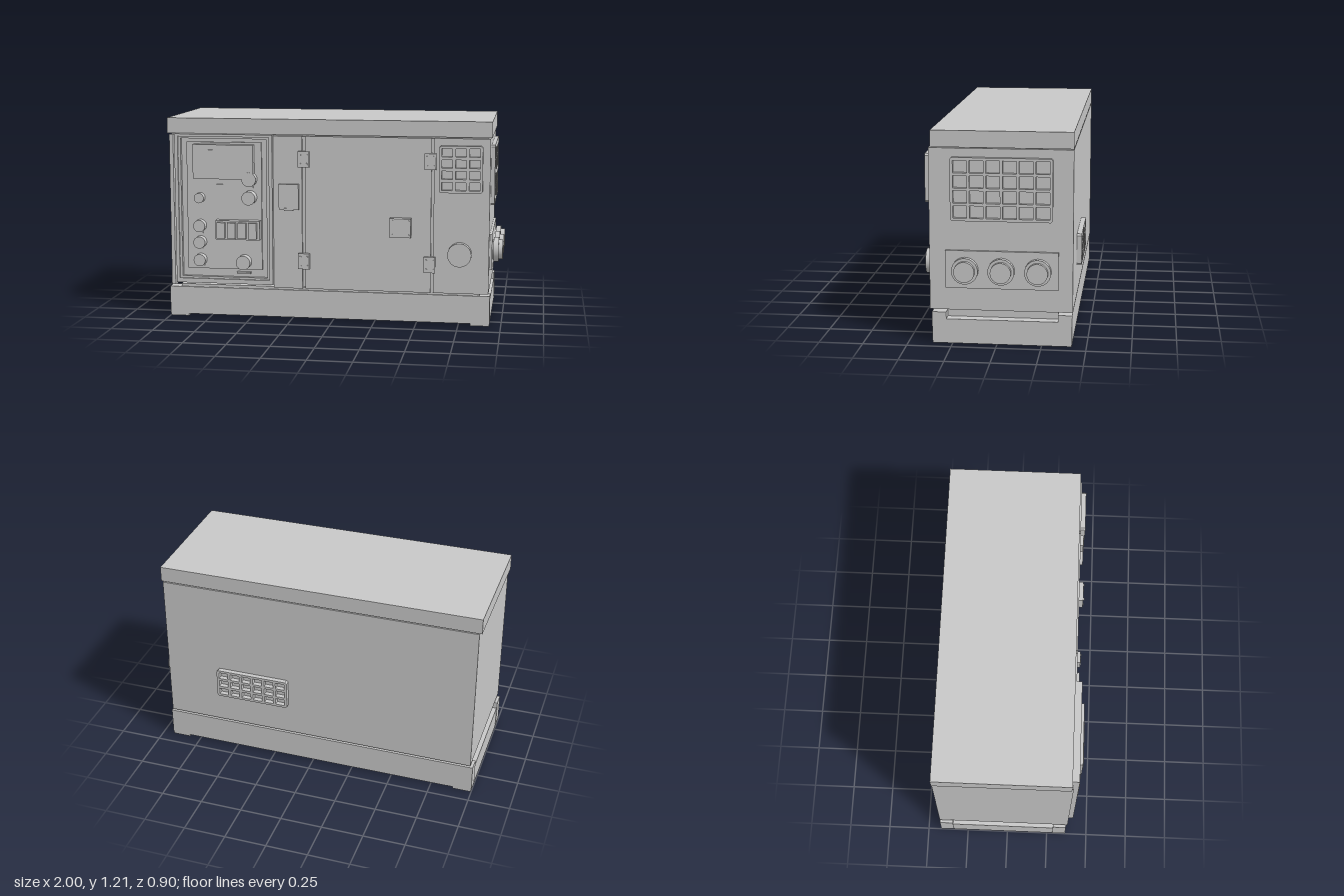
import * as THREE from 'three';

const paint = new THREE.MeshStandardMaterial({ color: 0xc8c8c8 });
paint.name = 'grey paint';

export function createModel() {
  const model = new THREE.Group();
  model.name = 'generatorSet';

  const add = (name, geometry, parent = model) => {
    const mesh = new THREE.Mesh(geometry, paint);
    mesh.name = name;
    parent.add(mesh);
    return mesh;
  };
  // Box given by its extents on each axis
  const box = (name, x0, x1, y0, y1, z0, z1, parent) => {
    const mesh = add(name, new THREE.BoxGeometry(x1 - x0, y1 - y0, z1 - z0), parent);
    mesh.position.set((x0 + x1) / 2, (y0 + y1) / 2, (z0 + z1) / 2);
    return mesh;
  };
  // Disc facing the front
  const knob = (name, x, y, r, z0, z1, parent) => {
    const mesh = add(name, new THREE.CylinderGeometry(r, r, z1 - z0, 32).rotateX(Math.PI / 2), parent);
    mesh.position.set(x, y, (z0 + z1) / 2);
    return mesh;
  };
  const rectPoints = (x0, x1, y0, y1) => [[x0, y0], [x1, y0], [x1, y1], [x0, y1]].map(p => new THREE.Vector2(...p));
  // Grille with chamfered corners and a grid of openings
  const grille = (name, w, h, cols, rows, depth, rim, bar) => {
    const c = 0.01, a = w / 2, b = h / 2;
    const shape = new THREE.Shape([
      [-a + c, -b], [a - c, -b], [a, -b + c], [a, b - c],
      [a - c, b], [-a + c, b], [-a, b - c], [-a, -b + c],
    ].map(p => new THREE.Vector2(...p)));
    const cw = (w - 2 * rim - (cols - 1) * bar) / cols;
    const ch = (h - 2 * rim - (rows - 1) * bar) / rows;
    for (let i = 0; i < cols; i++) for (let j = 0; j < rows; j++) {
      const x = -a + rim + i * (cw + bar), y = -b + rim + j * (ch + bar);
      shape.holes.push(new THREE.Path(rectPoints(x, x + cw, y, y + ch)));
    }
    return add(name, new THREE.ExtrudeGeometry(shape, { depth, bevelEnabled: false }));
  };

  // Skid base: long rails, end cross members, floor and the spacer under the housing
  box('frontRail', -1, 0.934, 0.013, 0.18, 0.285, 0.365);
  box('backRail', -1, 0.934, 0.013, 0.18, -0.42, -0.34);
  for (const x of [-0.997, 0.822]) {
    box('crossMember', x, x + 0.11, 0.01, 0.14, -0.34, 0.285);
    box('footPlate', x, x + 0.11, 0, 0.013, -0.418, 0.363);
  }
  box('floor', -0.93, 0.872, 0.139, 0.18, -0.34, 0.285);
  box('spacer', -0.93, 0.872, 0.178, 0.197, -0.385, 0.356);

  // Housing, set back behind the control panel, and roof
  box('housing', -0.36, 0.925, 0.194, 1.108, -0.422, 0.34);
  box('panelBay', -0.985, -0.36, 0.194, 1.108, -0.422, 0.28);
  box('roofSeam', -0.975, 0.912, 1.1, 1.12, -0.41, 0.34);
  box('roof', -1, 0.934, 1.114, 1.206, -0.422, 0.365);

  // Front doors and panels, with narrow seams between them
  box('latchPanel', -0.353, -0.18, 0.194, 1.108, 0.33, 0.377);
  box('centreDoor', -0.162, 0.585, 0.194, 1.108, 0.33, 0.377);
  box('ventPanel', 0.6, 0.925, 0.194, 1.108, 0.33, 0.377);
  box('seamBacking', -0.19, 0.61, 0.2, 1.105, 0.33, 0.362);
  box('cornerPost', -0.985, -0.962, 0.194, 1.108, 0.27, 0.375);

  // Hinges with screw heads
  for (const x of [-0.202, 0.546]) for (const y of [0.316, 0.926]) {
    const hinge = new THREE.Group();
    hinge.name = 'hinge';
    model.add(hinge);
    box('hingeLeaf', x, x + 0.067, y, y + 0.094, 0.37, 0.397, hinge);
    for (const dx of [0.014, 0.053]) for (const dy of [0.02, 0.074])
      knob('hingeScrew', x + dx, y + dy, 0.006, 0.39, 0.402, hinge);
  }

  // Door latch
  box('latchBody', -0.316, -0.198, 0.672, 0.824, 0.37, 0.402);
  box('latchLip', -0.283, -0.23, 0.667, 0.682, 0.38, 0.408);

  // Junction box on the centre door
  box('junctionBox', 0.345, 0.47, 0.525, 0.638, 0.37, 0.42);
  for (const x of [0.36, 0.455]) for (const y of [0.54, 0.623])
    knob('boxScrew', x, y, 0.008, 0.41, 0.427);

  // Front filler cap
  knob('fillerCap', 0.755, 0.43, 0.07, 0.37, 0.418);

  // Grilles on front, right side and back
  grille('frontGrille', 0.252, 0.274, 3, 4, 0.03, 0.015, 0.018).position.set(0.757, 0.93, 0.375);
  const sideGrille = grille('sideGrille', 0.566, 0.354, 6, 4, 0.025, 0.016, 0.015);
  sideGrille.rotation.y = Math.PI / 2;
  sideGrille.position.set(0.923, 0.883, -0.027);
  const backGrille = grille('backGrille', 0.45, 0.182, 6, 3, 0.031, 0.015, 0.016);
  backGrille.rotation.y = Math.PI;
  backGrille.position.set(0.375, 0.475, -0.42);

  // Outlets on the right side
  box('outletPlate', 0.915, 0.94, 0.323, 0.537, -0.342, 0.287);
  for (const z of [0.175, -0.027, -0.23]) {
    const profile = [[0, 0], [0.062, 0], [0.062, 0.012], [0.074, 0.012], [0.074, 0.042], [0.058, 0.042], [0.058, 0.066], [0, 0.066]];
    // Each straight section is its own lathe, so edges stay sharp
    const outlet = new THREE.Group();
    outlet.name = 'outlet';
    for (let i = 0; i < profile.length - 1; i++)
      add('outletRing', new THREE.LatheGeometry([profile[i], profile[i + 1]].map(p => new THREE.Vector2(...p)), 32), outlet);
    outlet.rotation.z = -Math.PI / 2;
    outlet.position.set(0.934, 0.428, z);
    model.add(outlet);
  }

  // Control panel: stepped frame around a sunken face
  const panel = new THREE.Group();
  panel.name = 'controlPanel';
  model.add(panel);
  const frame = (name, outer, inner, z0, z1) => {
    const shape = new THREE.Shape(rectPoints(...outer));
    shape.holes.push(new THREE.Path(rectPoints(...inner)));
    add(name, new THREE.ExtrudeGeometry(shape, { depth: z1 - z0, bevelEnabled: false }), panel).position.z = z0;
  };
  frame('outerFrame', [-0.945, -0.353, 0.216, 1.115], [-0.925, -0.374, 0.243, 1.1], 0.365, 0.408);
  frame('innerFrame', [-0.925, -0.374, 0.243, 1.1], [-0.91, -0.39, 0.255, 1.088], 0.365, 0.398);
  box('panelBack', -0.93, -0.37, 0.23, 1.105, 0.355, 0.374, panel);
  box('panelFace', -0.877, -0.422, 0.302, 1.067, 0.36, 0.386, panel);

  // Display unit
  box('displayHousing', -0.83, -0.465, 0.85, 1.055, 0.38, 0.426, panel);
  box('display', -0.815, -0.62, 0.905, 1.025, 0.42, 0.43, panel);
  knob('displayDial', -0.492, 0.85, 0.043, 0.38, 0.428, panel);

  // Knobs, switches and the small label plates beside them
  const dials = [
    [-0.797, 0.733, 0.03, 0.425], [-0.492, 0.74, 0.041, 0.441],
    [-0.797, 0.565, 0.036, 0.43], [-0.797, 0.465, 0.036, 0.43],
    [-0.797, 0.358, 0.036, 0.43], [-0.53, 0.35, 0.043, 0.435],
  ];
  for (const [x, y, r, z] of dials) knob('dial', x, y, r, 0.38, z, panel);
  const labels = [
    [-0.657, 0.81, 0.075], [-0.492, 0.802, 0.04], [-0.492, 0.69, 0.03], [-0.797, 0.658, 0.07],
    [-0.797, 0.522, 0.03], [-0.797, 0.422, 0.03], [-0.797, 0.318, 0.05], [-0.535, 0.282, 0.085],
  ];
  for (const [x, y, w] of labels)
    box('labelPlate', x - w / 2, x + w / 2, y - 0.005, y + 0.005, y < 0.3 ? 0.37 : 0.38, 0.392, panel);

  // Breaker row
  box('breakerBase', -0.695, -0.428, 0.488, 0.603, 0.38, 0.43, panel);
  for (let i = 0; i < 4; i++) {
    const x = -0.685 + i * 0.064;
    box('breaker', x, x + 0.05, 0.498, 0.593, 0.42, 0.45, panel);
  }

  return model;
}
